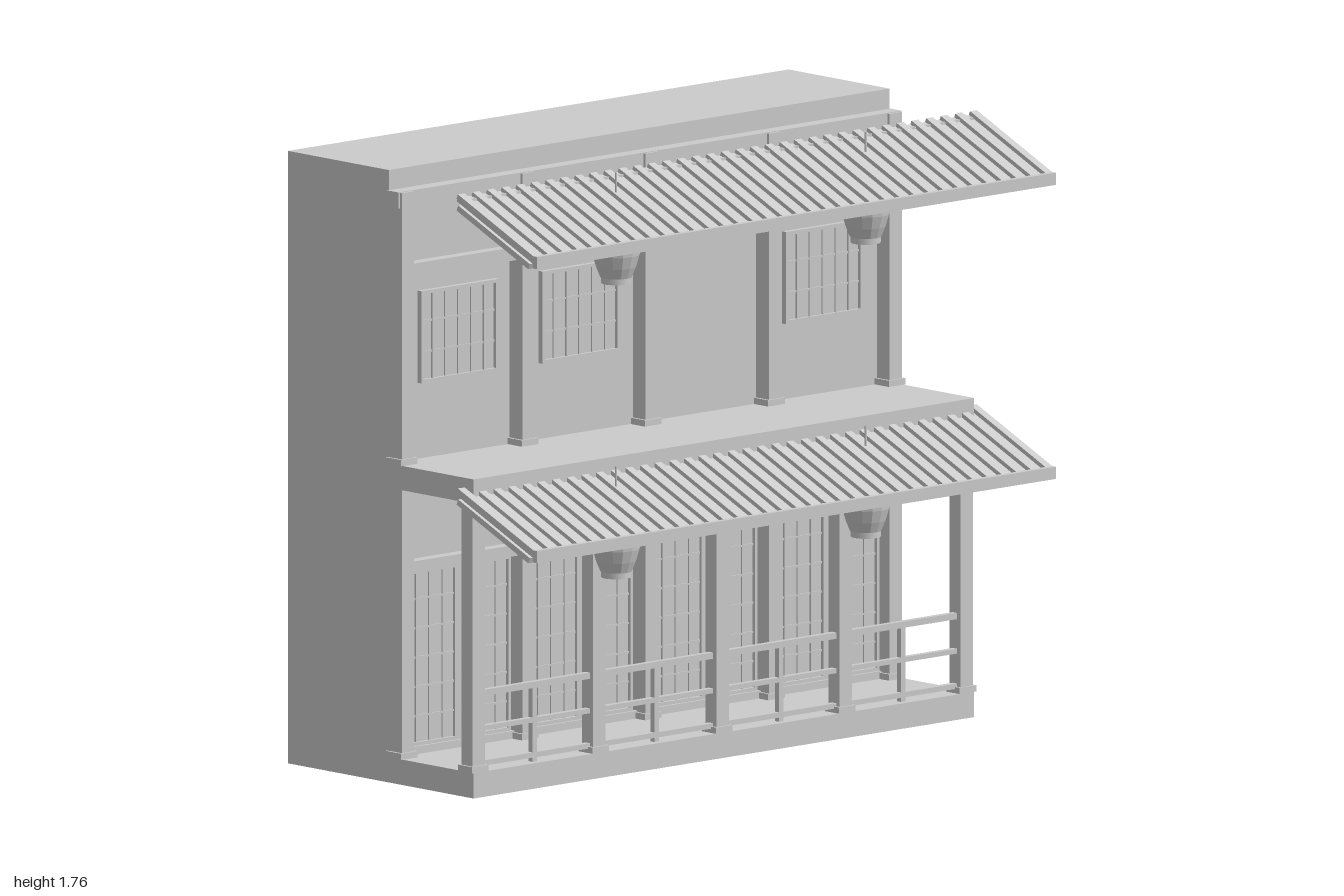
import * as THREE from 'three';

const mat = new THREE.MeshStandardMaterial({ color: 0xcccccc });
const flatMat = new THREE.MeshStandardMaterial({ color: 0xcccccc, flatShading: true });

// Box given by its min/max extents on each axis
function box(parent, name, [x0, x1], [y0, y1], [z0, z1]) {
  const m = new THREE.Mesh(new THREE.BoxGeometry(x1 - x0, y1 - y0, z1 - z0), mat);
  m.position.set((x0 + x1) / 2, (y0 + y1) / 2, (z0 + z1) / 2);
  m.name = name;
  parent.add(m);
  return m;
}

function group(parent, name) {
  const g = new THREE.Group();
  g.name = name;
  parent.add(g);
  return g;
}

const COLUMNS = [-0.94, -0.475, 0, 0.475, 0.94];
const BAYS = [-0.71, -0.24, 0.24, 0.71];
const WALL = -0.12;

// Square post on a slightly wider foot
function column(parent, x, y0, y1, z0, z1) {
  const g = group(parent, 'column');
  box(g, 'post', [x - 0.024, x + 0.024], [y0, y1], [z0, z1]);
  box(g, 'foot', [x - 0.032, x + 0.032], [y0, y0 + 0.018], [z0 - 0.006, z1 + 0.006]);
}

// Frame with a lattice of thin bars
function lattice(parent, name, [x0, x1], [y0, y1], z, cols, rows) {
  const g = group(parent, name);
  const t = 0.01, d = 0.012;
  box(g, 'pane', [x0, x1], [y0, y1], [z - 0.005, z + 0.002]);
  for (const x of [x0, x1 - t]) box(g, 'stile', [x, x + t], [y0, y1], [z, z + d]);
  for (const y of [y0, y1 - t]) box(g, 'rail', [x0, x1], [y, y + t], [z, z + d]);
  for (let i = 1; i < cols; i++) {
    const x = x0 + (x1 - x0) * i / cols;
    box(g, 'verticalBar', [x - 0.003, x + 0.003], [y0, y1], [z, z + 0.007]);
  }
  for (let i = 1; i < rows; i++) {
    const y = y0 + (y1 - y0) * i / rows;
    box(g, 'crossBar', [x0, x1], [y - 0.003, y + 0.003], [z, z + 0.006]);
  }
}

// Sloping canopy: ribbed deck, rafters below, fascia and top purlin
function canopy(parent, dy) {
  const g = group(parent, 'canopy');
  g.position.y = dy;
  const slope = group(g, 'slope');
  slope.position.set(0, 1.667, 0.366);
  slope.rotation.x = 0.41;
  const h = 0.175;
  box(slope, 'deck', [-0.995, 0.995], [-0.024, -0.012], [-h, h]);
  const ribs = 36;
  for (let i = 0; i < ribs; i++) {
    const x = -0.987 + 1.974 * i / (ribs - 1);
    box(slope, 'rib', [x - 0.013, x + 0.013], [-0.014, 0], [-h, h]);
  }
  for (let i = 0; i < 20; i++) {
    const x = -0.98 + 1.96 * i / 19;
    box(slope, 'rafter', [x - 0.01, x + 0.01], [-0.052, -0.035], [-h + 0.005, h - 0.02]);
  }
  box(g, 'fascia', [-1, 1], [1.565, 1.6], [0.518, 0.536]);
  box(g, 'purlin', [-0.97, 0.97], [1.685, 1.722], [0.2, 0.225]);
}

// Paper lantern on a thin rod
function lantern(parent, x, dy) {
  const g = group(parent, 'lantern');
  g.position.set(x, dy, 0.305);
  const profile = [[0, 1.45], [0.045, 1.45], [0.057, 1.48], [0.067, 1.515], [0.071, 1.553],
    [0.068, 1.595], [0.06, 1.628], [0.047, 1.65], [0, 1.65]];
  const body = new THREE.Mesh(
    new THREE.LatheGeometry(profile.map(([r, y]) => new THREE.Vector2(r, y)), 14), flatMat);
  body.name = 'lanternBody';
  g.add(body);
  const cyl = (name, r, y0, y1) => {
    const m = new THREE.Mesh(new THREE.CylinderGeometry(r, r, y1 - y0, 14), mat);
    m.position.y = (y0 + y1) / 2;
    m.name = name;
    g.add(m);
  };
  cyl('bottomCap', 0.043, 1.433, 1.452);
  cyl('topCap', 0.045, 1.645, 1.658);
  cyl('rod', 0.003, 1.65, 1.75);
}

export function createModel() {
  const root = new THREE.Group();
  root.name = 'townhouse';

  // Solid house body and the two porch slabs
  box(root, 'houseBody', [-0.965, 0.965], [0, 1.76], [-0.54, WALL]);
  box(root, 'porchFloor', [-0.965, 0.965], [0, 0.073], [WALL, 0.233]);
  box(root, 'balconyFloor', [-0.965, 0.965], [0.847, 0.917], [WALL, 0.233]);

  // Facade timbers on both storeys
  const facade = group(root, 'facade');
  for (const x of COLUMNS) {
    column(facade, x, 0.073, 0.847, WALL, -0.067);
    column(facade, x, 0.917, 1.7, WALL, -0.067);
  }
  box(facade, 'topBeam', [-0.97, 0.97], [1.655, 1.702], [WALL - 0.003, -0.075]);
  for (const [y0, y1] of [[1.45, 1.488], [0.6, 0.632], [0.8, 0.847]])
    box(facade, 'crossBeam', [-0.95, 0.95], [y0, y1], [WALL, -0.085]);
  box(facade, 'sill', [-0.95, 0.95], [0.073, 0.095], [WALL, -0.1]);

  // Upper windows; the third bay stays plain
  for (const x of [-0.705, -0.238, 0.7])
    lattice(facade, 'upperWindow', [x - 0.149, x + 0.149], [1.135, 1.4], WALL + 0.004, 6, 3);

  // Lower sliding doors, a pair per bay
  for (const x of BAYS) {
    lattice(facade, 'slidingDoor', [x - 0.205, x], [0.095, 0.6], WALL, 4, 6);
    lattice(facade, 'slidingDoor', [x, x + 0.205], [0.095, 0.6], WALL, 4, 6);
  }

  // Porch columns and railing
  const porch = group(root, 'porch');
  for (const x of COLUMNS) column(porch, x, 0.073, 0.85, 0.182, 0.228);
  for (const [y0, y1] of [[0.285, 0.303], [0.186, 0.2], [0.085, 0.1]])
    box(porch, 'railing', [-0.94, 0.94], [y0, y1], [0.196, 0.214]);
  for (const x of BAYS)
    box(porch, 'railingPost', [x - 0.009, x + 0.009], [0.073, 0.29], [0.197, 0.213]);
  box(porch, 'porchBeam', [-0.95, 0.95], [0.81, 0.85], [0.187, 0.223]);

  // Canopies and lanterns repeat on both storeys
  for (const dy of [0, -0.845]) {
    canopy(root, dy);
    for (const x of [-0.482, 0.48]) lantern(root, x, dy);
  }
  return root;
}
